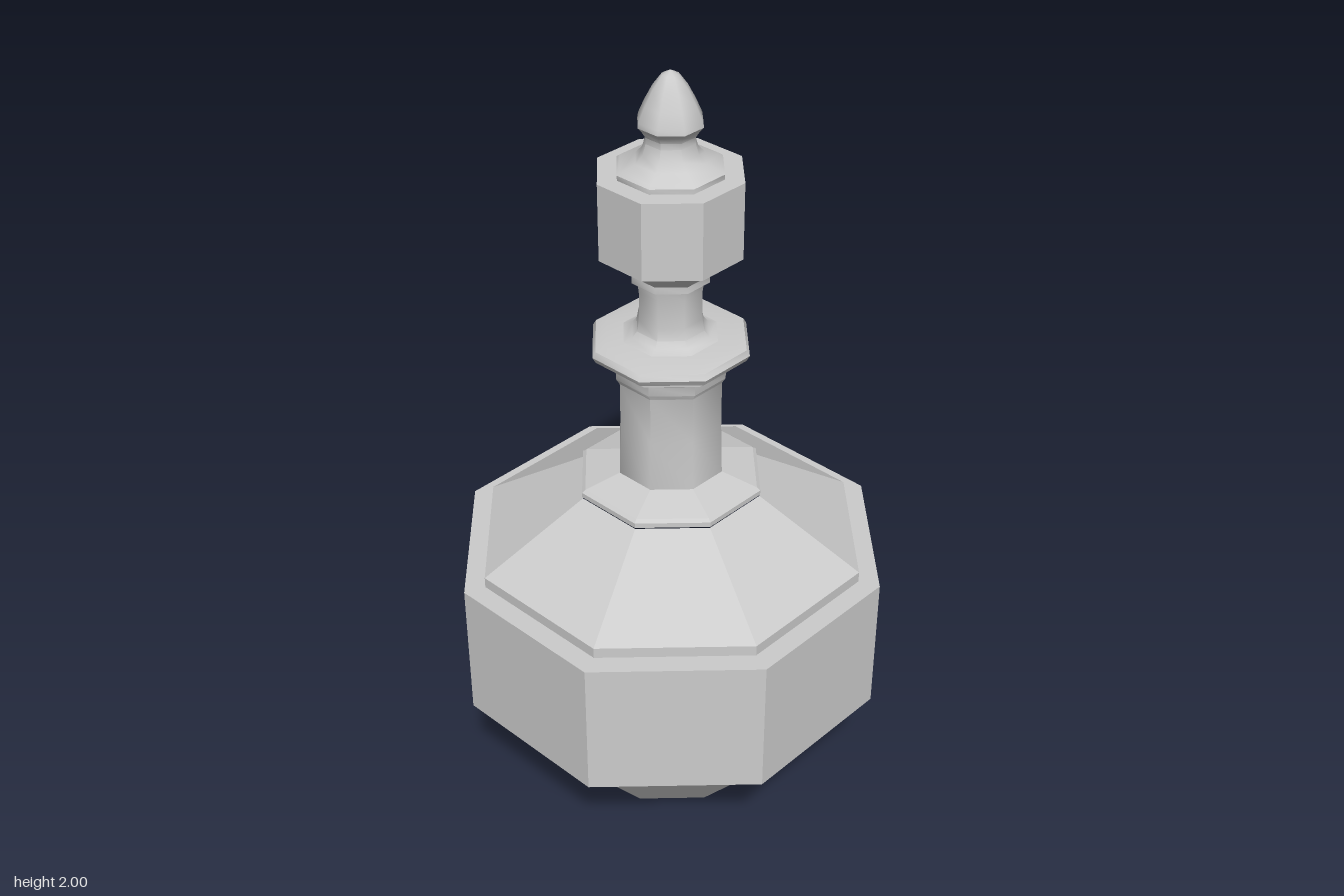
import * as THREE from 'three';
import { toCreasedNormals } from 'three/addons/utils/BufferGeometryUtils.js';

const SIDES = 8;
const flatMaterial = new THREE.MeshStandardMaterial({ color: 0xcccccc, flatShading: true });
const smoothMaterial = new THREE.MeshStandardMaterial({ color: 0xcccccc });

// Turns a [radius, height] profile, listed bottom to top, into an eight-sided part
function turned(name, profile, smooth = false) {
  const points = profile.map(([r, y]) => new THREE.Vector2(r, y));
  let geometry = new THREE.LatheGeometry(points, SIDES);
  if (smooth) geometry = toCreasedNormals(geometry, 0.82);
  const mesh = new THREE.Mesh(geometry, smooth ? smoothMaterial : flatMaterial);
  mesh.name = name;
  return mesh;
}

export function createModel() {
  const model = new THREE.Group();
  model.name = 'bottle';

  // Faceted vessel
  model.add(turned('taperedBase', [[0, 0], [0.225, 0], [0.508, 0.345]]));
  model.add(turned('bodyBand', [[0.508, 0.345], [0.555, 0.352], [0.555, 0.725], [0.5, 0.725]]));
  model.add(turned('shoulder', [[0.5, 0.725], [0.5, 0.753], [0.235, 0.918]]));
  model.add(turned('shoulderCollar', [
    [0.225, 0.918], [0.237, 0.922], [0.237, 0.935], [0.228, 0.942], [0.136, 0.967],
  ]));

  // Neck, flaring into a small lip
  model.add(turned('neck', [
    [0.136, 0.96], [0.132, 1.1], [0.132, 1.225], [0.141, 1.24], [0.141, 1.265],
    [0.15, 1.277], [0.17, 1.283], [0.17, 1.289], [0.135, 1.291],
  ], true));

  // Rounded disc of the mouth
  model.add(turned('mouthDisc', [
    [0.135, 1.29], [0.165, 1.293], [0.192, 1.3], [0.2, 1.315], [0.192, 1.329],
    [0.165, 1.334], [0.12, 1.338],
  ], true));

  // Stopper: waisted stem, faceted knob and pointed finial
  model.add(turned('stopperStem', [
    [0.12, 1.338], [0.098, 1.345], [0.086, 1.36], [0.08, 1.39], [0.08, 1.465],
    [0.084, 1.49], [0.098, 1.492], [0.098, 1.51],
  ], true));
  model.add(turned('stopperFlare', [[0.098, 1.51], [0.14, 1.55], [0.14, 1.568]]));
  model.add(turned('stopperKnob', [
    [0.14, 1.568], [0.178, 1.568], [0.178, 1.76], [0.12, 1.76],
  ]));
  model.add(turned('finialFoot', [
    [0.13, 1.758], [0.13, 1.772], [0.122, 1.778], [0.085, 1.79], [0.068, 1.808],
    [0.06, 1.835], [0.06, 1.85], [0.07, 1.866], [0.079, 1.876],
  ], true));
  model.add(turned('finialTip', [
    [0.079, 1.876], [0.077, 1.888], [0.062, 1.922], [0.042, 1.96], [0.02, 1.99], [0, 2],
  ], true));

  return model;
}
